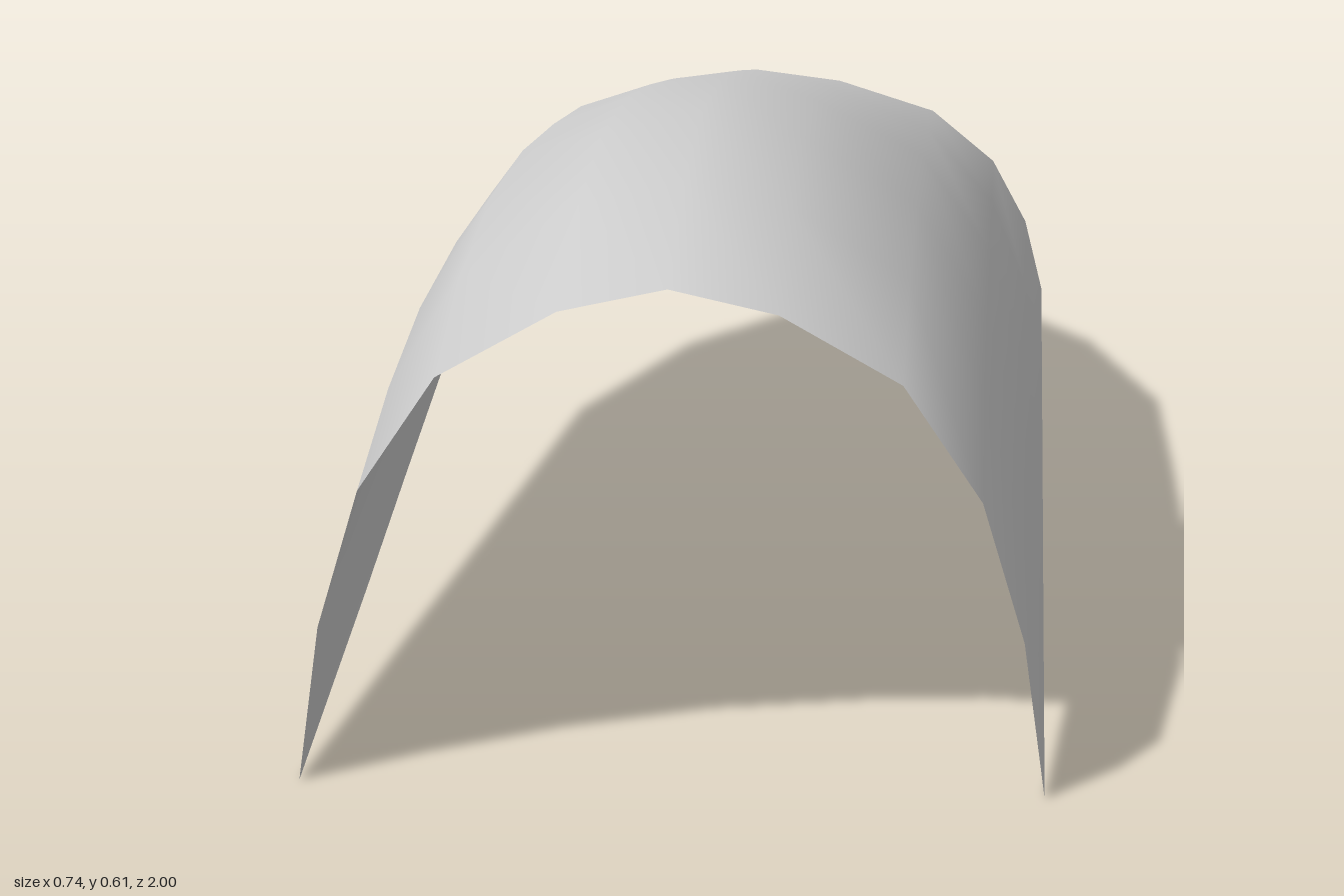
import * as THREE from 'three';
import { mergeVertices } from 'three/addons/utils/BufferGeometryUtils.js';

// Stations along the shell: z, half width, rim height, ridge height
const STATIONS = [
  [1, 0.372, 0.005, 0.516],
  [0.8, 0.372, 0.036, 0.58],
  [0.58, 0.372, 0.07, 0.61],
  [0.3, 0.372, 0.117, 0.594],
  [0, 0.372, 0.165, 0.55],
  [-0.3, 0.372, 0.212, 0.497],
  [-0.64, 0.285, 0.262, 0.42],
  [-0.875, 0.14, 0.295, 0.361],
  [-1, 0, 0.308, 0.308],
];

// Half of the arch, ridge to rim: fraction of width, fraction of height
const ARCH = [[0, 1], [0.29, 0.953], [0.614, 0.82], [0.825, 0.592], [0.94, 0.314], [1, 0]];

function shellGeometry() {
  const left = ARCH.slice(1);
  const right = left.map(([u, v]) => [-u, v]).reverse();
  const ring = [...right, ARCH[0], ...left];
  const n = ring.length;
  const positions = [];
  const index = [];

  for (const [z, halfWidth, rim, ridge] of STATIONS) {
    for (const [u, v] of ring) positions.push(u * halfWidth, rim + v * (ridge - rim), z);
  }
  for (let i = 0; i < STATIONS.length - 1; i++) {
    for (let j = 0; j < n - 1; j++) {
      const a = i * n + j, b = a + 1, c = a + n, d = c + 1;
      index.push(a, b, c);
      // The last band closes to a point
      if (i < STATIONS.length - 2) index.push(b, d, c);
    }
  }

  const geometry = new THREE.BufferGeometry();
  geometry.setAttribute('position', new THREE.Float32BufferAttribute(positions, 3));
  geometry.setIndex(index);
  const merged = mergeVertices(geometry, 1e-5);
  merged.computeVertexNormals();
  return merged;
}

export function createModel() {
  const group = new THREE.Group();
  group.name = 'archedShell';

  // Thin open canopy, square mouth at the front and pointed tail
  const material = new THREE.MeshStandardMaterial({ color: 0xcccccc, side: THREE.DoubleSide });
  const canopy = new THREE.Mesh(shellGeometry(), material);
  canopy.name = 'canopy';
  group.add(canopy);
  return group;
}
